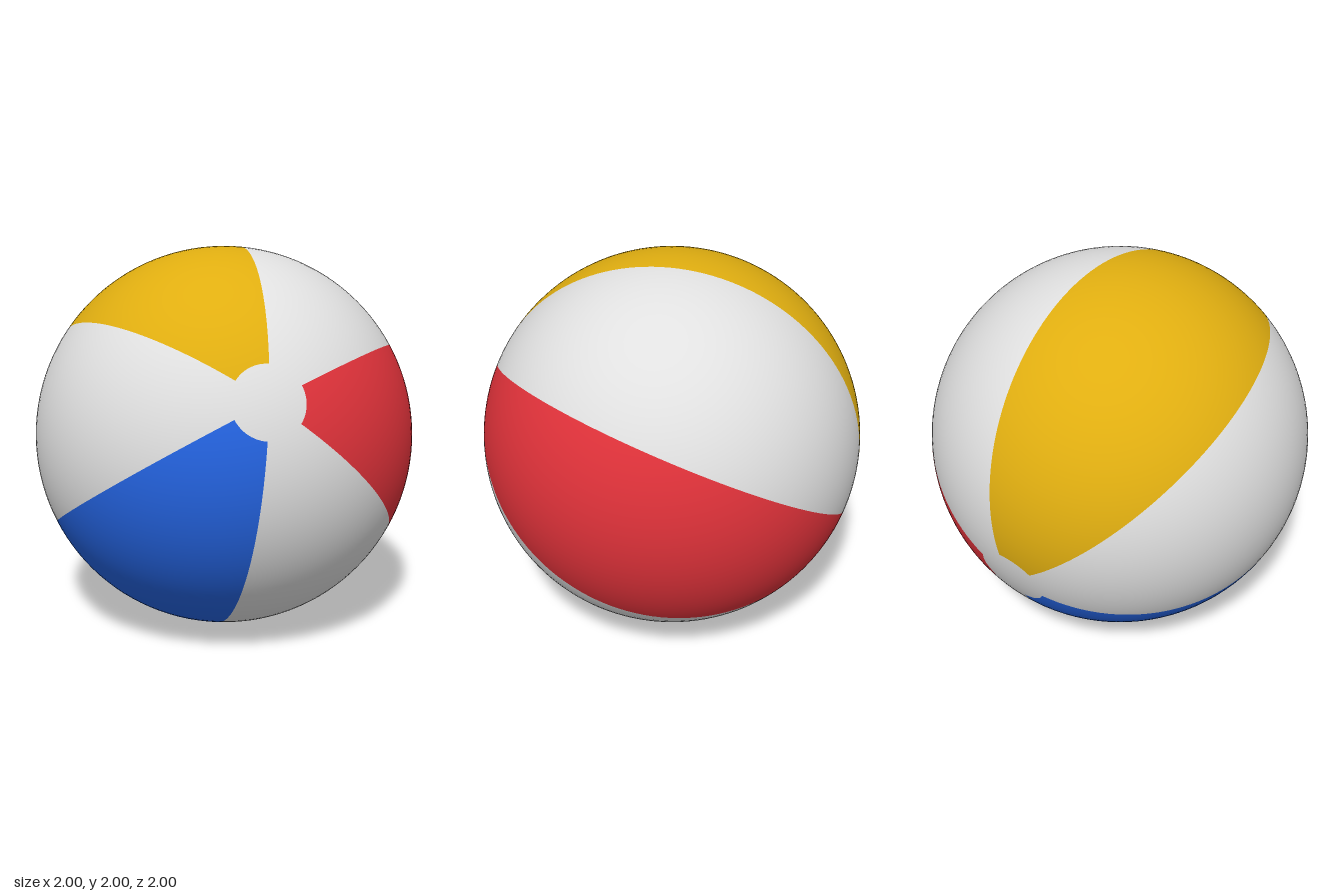
import * as THREE from 'three';

const mat = (name, color) => {
  const m = new THREE.MeshStandardMaterial({ color });
  m.name = name;
  return m;
};

export function createModel() {
  const white = mat('white', 0xe0e0e0);
  const red = mat('red', 0xe0323a);
  const yellow = mat('yellow', 0xe0ae10);
  const blue = mat('blue', 0x2463e0);

  const model = new THREE.Group();
  model.name = 'beachBall';
  const ball = new THREE.Group();
  ball.name = 'ball';
  model.add(ball);

  const add = (name, geometry, material) => {
    const mesh = new THREE.Mesh(geometry, material);
    mesh.name = name;
    ball.add(mesh);
  };

  // Six panels between the poles, alternating colour and white
  const cap = THREE.MathUtils.degToRad(10.5);
  const sector = Math.PI / 3;
  const panels = [
    ['redPanel', red], ['whitePanelA', white], ['yellowPanel', yellow],
    ['whitePanelB', white], ['bluePanel', blue], ['whitePanelC', white],
  ];
  panels.forEach(([name, material], i) => {
    const start = Math.PI + (i - 0.5) * sector;
    add(name, new THREE.SphereGeometry(1, 20, 64, start, sector, cap, Math.PI - 2 * cap), material);
  });

  // Round white discs closing both poles
  const capStart = Math.PI - sector / 2;
  add('frontCap', new THREE.SphereGeometry(1, 120, 8, capStart, Math.PI * 2, 0, cap), white);
  add('backCap', new THREE.SphereGeometry(1, 120, 8, capStart, Math.PI * 2, Math.PI - cap, cap), white);

  // Tilt the ball: its pole points forward and up, the red panel to the left side
  const pole = new THREE.Vector3(0.264, 0.354, 0.897).normalize();
  const side = new THREE.Vector3(0.965, -0.098, -0.243);
  side.addScaledVector(pole, -side.dot(pole)).normalize();
  const third = new THREE.Vector3().crossVectors(side, pole);
  ball.quaternion.setFromRotationMatrix(new THREE.Matrix4().makeBasis(side, pole, third));
  ball.position.y = 1;
  return model;
}
